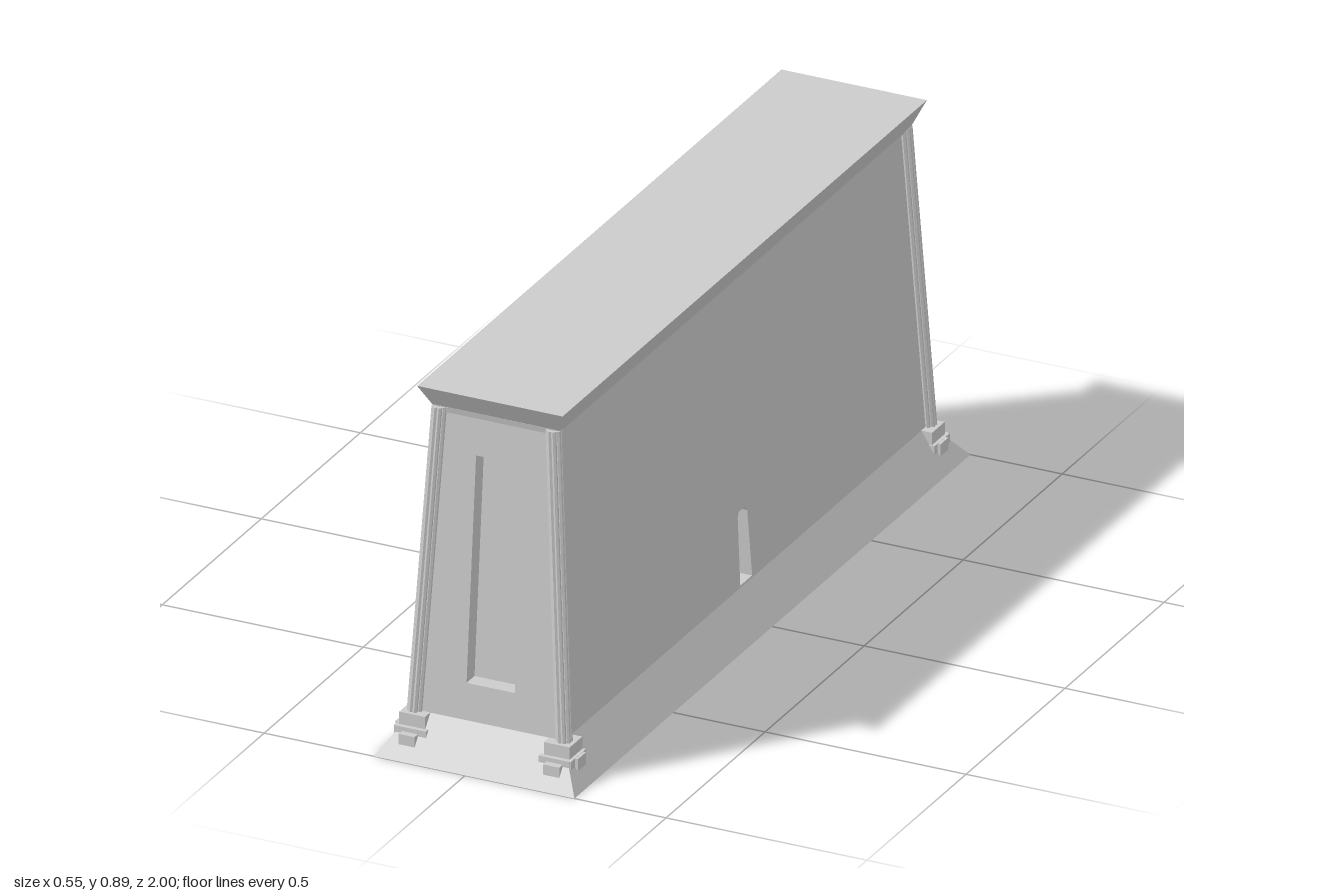
import * as THREE from 'three';

const mat = new THREE.MeshStandardMaterial({ color: 0xcccccc, flatShading: true });
const CX = 0.022;                       // building axis; the stairs stick out to -x
const Y0 = 0.095, Y1 = 0.835;           // wall bottom and top
const X0 = 0.185, X1 = 0.142;           // half width at wall bottom and top
const Z0 = 0.92, Z1 = 0.883;            // half length at wall bottom and top
const DEPTH = 0.04;                     // depth of the openings

const slope = (y, a, b) => a + (b - a) * (y - Y0) / (Y1 - Y0);

function add(parent, name, geometry) {
  const mesh = new THREE.Mesh(geometry, mat);
  mesh.name = name;
  parent.add(mesh);
  return mesh;
}

// Box whose bottom and top rectangles differ (half sizes)
function frustum(y0, y1, bx, bz, tx, tz) {
  const g = new THREE.BoxGeometry(2, 2, 2), p = g.attributes.position;
  for (let i = 0; i < p.count; i++) {
    const top = p.getY(i) > 0;
    p.setXYZ(i, p.getX(i) * (top ? tx : bx), top ? y1 : y0, p.getZ(i) * (top ? tz : bz));
  }
  g.computeVertexNormals();
  return g;
}

// Upright trapezoid outline centred on u
const trapezoid = (u, y0, y1, h0, h1) => [[u - h0, y0], [u + h0, y0], [u + h1, y1], [u - h1, y1]]
  .map(([x, y]) => new THREE.Vector2(x, y));

// Slab that follows the batter of a wall; a and b are the wall's outward offsets
function slab(outline, holes, thickness, recess, a, b) {
  const shape = new THREE.Shape(outline);
  holes.forEach(h => shape.holes.push(new THREE.Path(h)));
  const g = new THREE.ExtrudeGeometry(shape, { depth: thickness, bevelEnabled: false });
  const p = g.attributes.position;
  for (let i = 0; i < p.count; i++) {
    p.setZ(i, p.getZ(i) - thickness - recess + slope(p.getY(i), a, b));
  }
  g.computeVertexNormals();
  return g;
}

export function createModel() {
  const model = new THREE.Group();
  const building = new THREE.Group();
  building.name = 'building';
  building.position.x = CX;
  model.add(building);

  // Sloping plinth, inner core (back of every recess), roll band and flared cornice
  add(building, 'plinth', frustum(0, Y0, 0.25, 1, X0, Z0));
  add(building, 'core', frustum(Y0 - 0.01, Y1, X0 - DEPTH, Z0 - DEPTH, X1 - DEPTH, Z1 - DEPTH));
  add(building, 'corniceBand', frustum(0.828, 0.842, 0.15, 0.887, 0.154, 0.89));
  add(building, 'cornice', frustum(0.84, 0.895, 0.158, 0.888, 0.181, 0.92));

  // End walls with a tall tapered panel
  for (const turn of [0, Math.PI]) {
    const wall = add(building, 'endWall', slab(trapezoid(0, Y0, Y1, X0, X1),
      [trapezoid(0, 0.185, 0.737, 0.06, 0.05)], DEPTH, 0, Z0, Z1));
    wall.rotation.y = turn;
  }

  // Plain long wall with one narrow niche
  const niche = [[-0.03, 0.1], [0.03, 0.1], [0.024, 0.262], [0.017, 0.275], [-0.017, 0.275], [-0.024, 0.262]]
    .map(([x, y]) => new THREE.Vector2(x, y));
  const longWall = trapezoid(0, Y0, Y1, Z0, Z1);
  add(building, 'nicheWall', slab(longWall, [niche], DEPTH, 0, X0, X1)).rotation.y = Math.PI / 2;

  // Entrance wall: two rows of windows, door, middle window, two long panels
  const entrance = new THREE.Group();
  entrance.name = 'entranceSide';
  entrance.rotation.y = -Math.PI / 2;
  building.add(entrance);
  const holes = [
    trapezoid(0, 0.102, 0.355, 0.08, 0.05),
    trapezoid(0, 0.38, 0.51, 0.07, 0.045)
  ];
  for (const u of [-0.565, -0.29, 0.29, 0.565]) {
    for (const y of [0.22, 0.4]) holes.push(trapezoid(u, y, y + 0.13, 0.06, 0.032));
  }
  for (const s of [-1, 1]) {
    holes.push(trapezoid(s * 0.437, 0.648, 0.735, 0.356, 0.35));
    add(entrance, 'longPanel', slab(trapezoid(s * 0.437, 0.64, 0.74, 0.36, 0.355), [], 0.02, 0.018, X0, X1));
    // Door posts
    const post = [[0.05, 0.1], [0.066, 0.1], [0.046, 0.325], [0.034, 0.325]]
      .map(([x, y]) => new THREE.Vector2(s * x, y));
    add(entrance, 'doorPost', slab(post, [], 0.025, 0.015, X0, X1));
  }
  add(entrance, 'entranceWall', slab(longWall, holes, DEPTH, 0, X0, X1));
  add(entrance, 'doorLintel', slab(trapezoid(0, 0.315, 0.335, 0.05, 0.048), [], 0.028, 0.012, X0, X1));

  // Corner columns of bundled reeds on stepped block feet
  const reedCount = 8;
  for (const sx of [-1, 1]) for (const sz of [-1, 1]) {
    const column = new THREE.Group();
    column.name = 'cornerColumn';
    building.add(column);
    for (let i = 0; i < reedCount; i++) {
      const a = (i + 0.5) / reedCount * Math.PI * 2;
      const g = new THREE.CylinderGeometry(0.006, 0.006, 0.76, 6);
      g.translate(Math.cos(a) * 0.0135, 0.46, Math.sin(a) * 0.0135);
      const p = g.attributes.position;
      for (let k = 0; k < p.count; k++) {
        const y = p.getY(k);
        p.setX(k, p.getX(k) + sx * slope(y, X0, X1));
        p.setZ(k, p.getZ(k) + sz * slope(y, Z0, Z1));
      }
      add(column, 'reed', g);
    }
    // Blocks: centre x, y, z and size x, y, z
    const blocks = [
      [0.18, 0.078, 0.915, 0.064, 0.035, 0.064],
      [0.178, 0.053, 0.928, 0.076, 0.025, 0.06],
      [0.19, 0.053, 0.918, 0.06, 0.025, 0.076],
      [0.18, 0.041, 0.94, 0.04, 0.028, 0.07],
      [0.198, 0.05, 0.915, 0.058, 0.03, 0.04]
    ];
    for (const [x, y, z, w, h, d] of blocks) {
      add(column, 'footBlock', new THREE.BoxGeometry(w, h, d)).position.set(sx * x, y, sz * z);
    }
  }

  // Stairs with splayed sloping flanks
  const stairs = new THREE.Group();
  stairs.name = 'stairs';
  model.add(stairs);
  const steps = 9;
  for (let i = 0; i < steps; i++) {
    const x = -0.252 + i * 0.01, h = 0.1 * (i + 1) / steps;
    add(stairs, 'step', new THREE.BoxGeometry(-0.145 - x, h, 0.17)).position.set((x - 0.145) / 2, h / 2, 0);
  }
  for (const s of [-1, 1]) {
    const side = new THREE.Shape([[-0.275, 0], [-0.15, 0], [-0.15, 0.115], [-0.162, 0.115]]
      .map(([x, y]) => new THREE.Vector2(x, y)));
    const g = new THREE.ExtrudeGeometry(side, { depth: 0.042, bevelEnabled: false });
    g.translate(0, 0, -0.021);
    const p = g.attributes.position;
    for (let i = 0; i < p.count; i++) {
      p.setZ(i, p.getZ(i) + s * (0.116 - 0.26 * (p.getX(i) + 0.275)));
    }
    g.computeVertexNormals();
    add(stairs, 'stairFlank', g);
  }
  return model;
}
